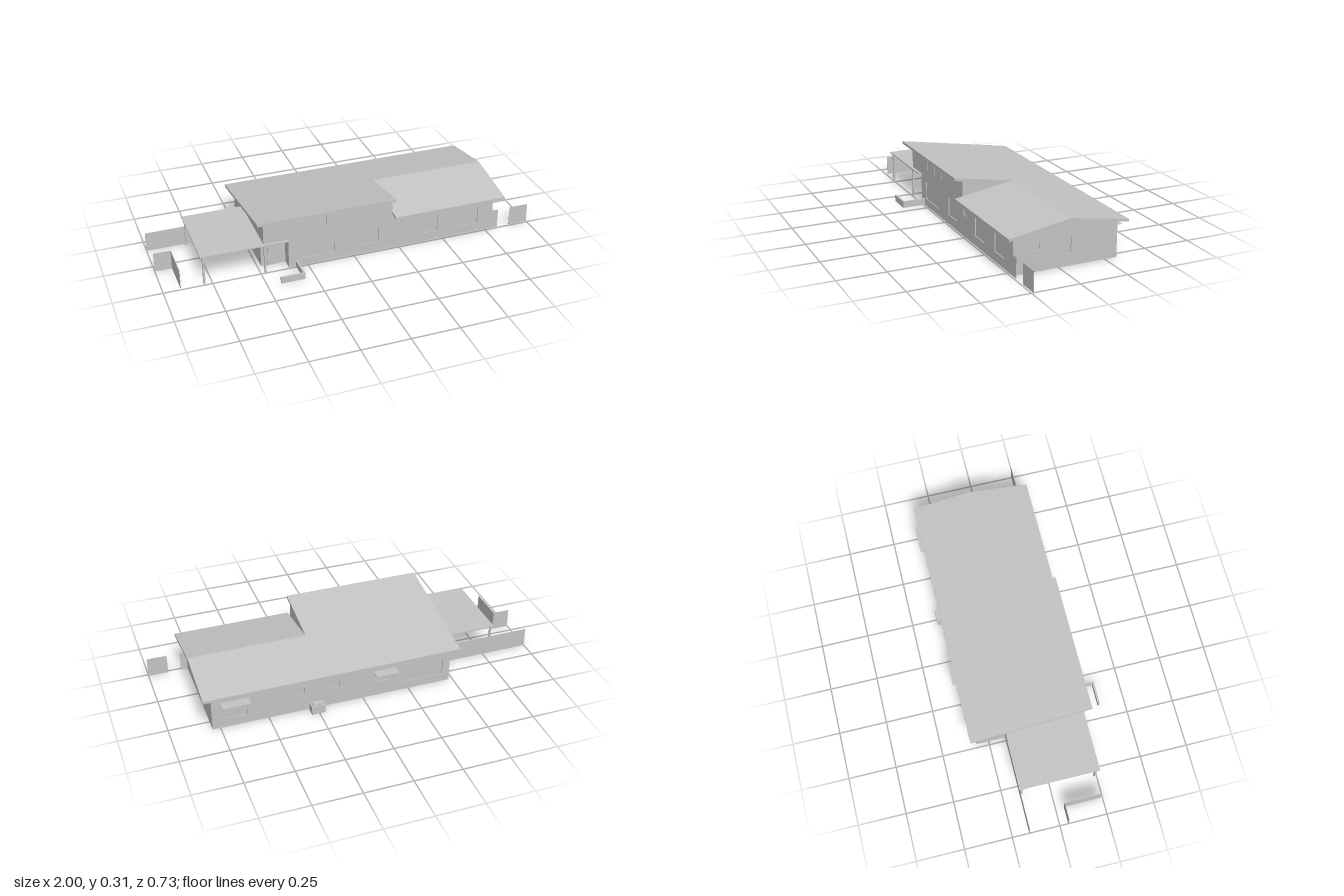
import * as THREE from 'three';

const grey = new THREE.MeshStandardMaterial({ color: 0xc4c4c4, side: THREE.DoubleSide });
grey.name = 'plain grey';

export function createModel() {
  const house = new THREE.Group();
  house.name = 'house';

  const add = (name, geometry, parent = house) => {
    const mesh = new THREE.Mesh(geometry, grey);
    mesh.name = name;
    parent.add(mesh);
    return mesh;
  };

  // Box given by its limits on each axis
  const box = (name, x0, x1, y0, y1, z0, z1, parent) =>
    add(name, new THREE.BoxGeometry(x1 - x0, y1 - y0, z1 - z0), parent)
      .position.set((x0 + x1) / 2, (y0 + y1) / 2, (z0 + z1) / 2);

  // Upright slab with an outline in (u, y), outer face at local z = 0.
  // Each opening [u0, u1, y0, y1] is cut out and filled with a recessed pane.
  const slab = (name, outline, thickness, openings = []) => {
    const group = new THREE.Group();
    group.name = name;
    const shape = new THREE.Shape(outline.map(([u, y]) => new THREE.Vector2(u, y)));
    for (const [u0, u1, y0, y1] of openings) {
      shape.holes.push(new THREE.Path([[u0, y0], [u0, y1], [u1, y1], [u1, y0]]
        .map(([u, y]) => new THREE.Vector2(u, y))));
      box('windowPane', u0, u1, y0, y1, -0.008, -0.005, group);
    }
    const geometry = new THREE.ExtrudeGeometry(shape, { depth: thickness, bevelEnabled: false });
    geometry.translate(0, 0, -thickness);
    add(name + 'Slab', geometry, group);
    house.add(group);
    return group;
  };

  // Slab in the (z, y) plane whose outer face looks along +x
  const crossSlab = (name, x, profile, thickness, openings = []) => {
    const group = slab(name, profile.map(([z, y]) => [-z, y]), thickness,
      openings.map(([z0, z1, y0, y1]) => [-z1, -z0, y0, y1]));
    group.rotation.y = Math.PI / 2;
    group.position.x = x;
  };

  const rect = (u0, u1, y0, y1) => [[u0, y0], [u1, y0], [u1, y1], [u0, y1]];
  const T = 0.012;

  // Roofs: a tall single slope and a lower gable sharing the back slope
  crossSlab('tallRoof', 0.215,
    [[0.283, 0.31], [-0.35, 0.205], [-0.35, 0.191], [0.283, 0.296]], 0.735);
  crossSlab('gableRoof', 0.835,
    [[0.283, 0.203], [-0.037, 0.257], [-0.35, 0.205], [-0.35, 0.191], [-0.037, 0.243], [0.283, 0.19]], 0.62);

  // Outer walls
  slab('frontWall', rect(-0.35, 0.79, 0, 0.198), T, [
    [-0.283, -0.103, 0.04, 0.138], [0.03, 0.137, 0.05, 0.146], [0.223, 0.263, 0.115, 0.146],
    [0.363, 0.47, 0.05, 0.146], [0.59, 0.703, 0.05, 0.146],
  ]).position.z = 0.24;
  const back = slab('backWall', rect(-0.79, 0.48, 0, 0.198), T, [
    [-0.72, -0.61, 0.05, 0.14], [-0.387, -0.313, 0.1, 0.14], [-0.187, -0.127, 0.1, 0.14],
    [0.067, 0.167, 0.08, 0.14], [0.22, 0.44, 0.045, 0.14],
  ]);
  back.rotation.y = Math.PI;
  back.position.z = -0.315;
  crossSlab('gableWall', 0.79,
    [[0.24, 0], [0.24, 0.198], [-0.037, 0.244], [-0.315, 0.198], [-0.315, 0]], T,
    [[0.1, 0.172, 0.107, 0.143], [-0.065, -0.01, 0.062, 0.143]]);
  crossSlab('carportWall', -0.468,
    [[0.18, 0], [0.18, 0.163], [0.24, 0.163], [0.24, 0.289], [-0.315, 0.198], [-0.315, 0]], T);
  crossSlab('stepWall', 0.212, [[0.24, 0.19], [0.24, 0.289], [-0.037, 0.243]], T);
  box('upperFrontWall', -0.48, 0.212, 0.163, 0.289, 0.228, 0.24);

  // High windows
  for (let i = 0; i < 3; i++) {
    const x = -0.34 + i * 0.097;
    box('highWindow', x, x + 0.09, 0.212, 0.268, 0.239, 0.243);
  }

  // Recessed entrance
  box('entryWall', -0.48, -0.35, 0, 0.163, 0.168, 0.18);
  box('entrySideWall', -0.35, -0.338, 0, 0.163, 0.168, 0.24);
  box('entryDoor', -0.445, -0.385, 0, 0.13, 0.18, 0.184);

  // Carport
  box('carportRoof', -0.805, -0.35, 0.16, 0.167, -0.16, 0.255);
  for (const [x, z] of [[-0.79, 0.24], [-0.79, -0.15], [-0.474, 0.24]]) {
    box('carportPost', x - 0.005, x + 0.005, 0, 0.16, z - 0.005, z + 0.005);
  }

  // Thin fences
  const H = 0.105;
  box('backFence', -1, -0.48, 0, H, -0.161, -0.159);
  box('sideFence', -0.911, -0.909, 0, H, 0.045, 0.24);
  box('shortFence', -1, -0.91, 0, H, 0.044, 0.046);
  box('wallFence', 0.79, 0.825, 0, H, 0.238, 0.24);
  box('gateFence', 0.895, 1, 0, H, 0.238, 0.24);

  // Low garden wall by the entrance
  box('gardenWallSide', -0.313, -0.303, 0, 0.035, 0.24, 0.367);
  box('gardenWallFront', -0.43, -0.313, 0, 0.035, 0.357, 0.367);

  // Awnings and outdoor unit behind the house
  box('awning', 0.6, 0.745, 0.146, 0.15, -0.367, -0.315);
  box('awning', -0.18, -0.055, 0.146, 0.15, -0.367, -0.315);
  box('outdoorUnit', 0.22, 0.29, 0, 0.045, -0.367, -0.322);
  box('outdoorUnitTop', 0.23, 0.28, 0.045, 0.053, -0.359, -0.33);

  // Partitions along the corridor: [x0, x1, z]
  for (const [x0, x1, z] of [[-0.15, 0.1, -0.06], [0.18, 0.48, -0.06], [0.54, 0.78, -0.06],
    [0.1, 0.32, 0.03], [0.38, 0.68, 0.03]]) {
    box('corridorPartition', x0, x1, 0, 0.19, z - 0.004, z + 0.004);
  }
  // Partitions across the house: [x, z0, z1]
  for (const [x, z0, z1] of [[-0.19, -0.305, -0.1], [0.07, -0.305, -0.06], [0.25, -0.305, -0.06],
    [0.5, -0.305, -0.06], [0.0, 0.06, 0.23], [0.2, 0.03, 0.23], [0.3, 0.03, 0.23], [0.53, 0.03, 0.23]]) {
    box('crossPartition', x - 0.004, x + 0.004, 0, 0.19, z0, z1);
  }

  // Furniture: [name, x, z, width, depth, height]
  for (const [name, x, z, w, d, h] of [
    ['bed', 0.66, -0.22, 0.1, 0.13, 0.035], ['bed', 0.38, -0.22, 0.1, 0.13, 0.035],
    ['bed', 0.65, 0.14, 0.1, 0.13, 0.035], ['bed', 0.42, 0.14, 0.1, 0.13, 0.035],
    ['wardrobe', 0.75, -0.1, 0.06, 0.05, 0.13], ['wardrobe', 0.47, -0.1, 0.05, 0.05, 0.13],
    ['wardrobe', 0.5, 0.07, 0.04, 0.06, 0.13], ['bathtub', 0.16, -0.27, 0.12, 0.06, 0.04],
    ['basin', 0.25, 0.2, 0.06, 0.04, 0.06], ['desk', 0.09, 0.2, 0.11, 0.05, 0.05],
    ['kitchenCounter', -0.06, -0.28, 0.2, 0.05, 0.06], ['kitchenIsland', -0.05, -0.16, 0.13, 0.05, 0.06],
    ['sofa', -0.2, 0.19, 0.16, 0.06, 0.035], ['coffeeTable', -0.2, 0.1, 0.1, 0.05, 0.025],
    ['diningTable', -0.34, -0.2, 0.13, 0.08, 0.05], ['cabinet', -0.43, 0.05, 0.05, 0.14, 0.05],
  ]) {
    box(name, x - w / 2, x + w / 2, 0, h, z - d / 2, z + d / 2);
  }

  return house;
}
